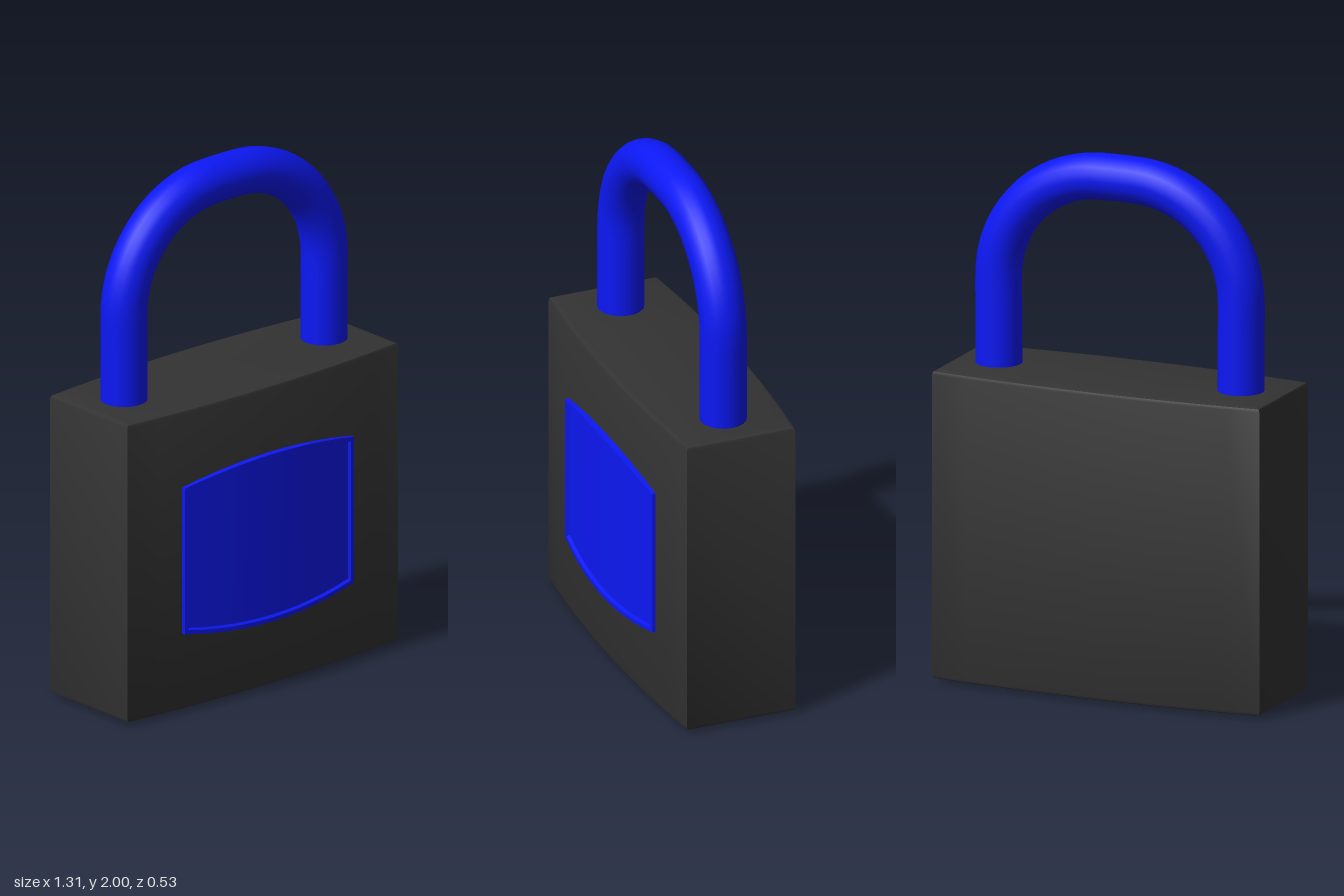
import * as THREE from 'three';
import { toCreasedNormals } from 'three/addons/utils/BufferGeometryUtils.js';

const BLUE = new THREE.MeshStandardMaterial({ color: 0x0c18f5 });
const DARK = new THREE.MeshStandardMaterial({ color: 0x333333 });
const ZC = -0.015; // depth centre of the body and shackle

function add(group, name, geometry, material) {
  const mesh = new THREE.Mesh(geometry, material);
  mesh.name = name;
  group.add(mesh);
  return mesh;
}

// Block with gently bowed front and back and a small bevel
function bodyGeometry() {
  const bevel = 0.015, w = 0.655 - bevel, n = 10;
  const half = x => 0.25 - 0.035 * (x / w) ** 2 - bevel;
  const pts = [];
  for (let i = 0; i <= n; i++) {
    const x = -w + (2 * w * i) / n;
    pts.push(new THREE.Vector2(x, -half(x)));
  }
  for (let i = n; i >= 0; i--) pts.push(new THREE.Vector2(pts[i].x, -pts[i].y));
  const g = new THREE.ExtrudeGeometry(new THREE.Shape(pts), {
    depth: 1.16 - 2 * bevel, bevelThickness: bevel, bevelSize: bevel, bevelSegments: 2,
  });
  g.rotateX(-Math.PI / 2);
  g.translate(0, 0.01 + bevel, ZC);
  return toCreasedNormals(g, 0.5);
}

// Straight legs joined by two rounded corners and a short flat top
function shackleGeometry() {
  const x = 0.485, r = 0.086, y0 = 1.1, y1 = 1.5, flat = 0.06, top = 2 - r;
  const pts = [new THREE.Vector3(x, y0, ZC), new THREE.Vector3(x, y1 - 0.1, ZC)];
  const n = 12;
  for (const side of [1, -1]) {
    for (let i = 0; i <= n; i++) {
      const a = (Math.PI / 2) * (side > 0 ? i / n : 1 - i / n);
      pts.push(new THREE.Vector3(
        side * (flat + (x - flat) * Math.cos(a)), y1 + (top - y1) * Math.sin(a), ZC));
    }
  }
  pts.push(new THREE.Vector3(-x, y1 - 0.1, ZC), new THREE.Vector3(-x, y0, ZC));
  return new THREE.TubeGeometry(new THREE.CatmullRomCurve3(pts), 72, r, 20, false);
}

// Plate outline: straight sides, arched top and bottom, bent to follow the body
const PLATE = { w: 0.41, y: 0.59, n: 12 };
const plateHalf = x => 0.325 - 0.042 * (x / PLATE.w) ** 2;
const plateZ = x => 0.26 - 0.025 * (x / PLATE.w) ** 2;

function plateRing(inset, dz) {
  const { w, y, n } = PLATE, pts = [];
  for (const side of [-1, 1]) {
    for (let i = 0; i <= n; i++) {
      const x = -side * (w - inset) * (-1 + (2 * i) / n) * 1;
      pts.push([x, y + side * (plateHalf(x) - inset), plateZ(x) + dz]);
    }
  }
  return pts;
}

// Raised border lofted through outer wall, face and inner bevel
function rimGeometry() {
  const rings = [plateRing(0, -0.06), plateRing(0, 0), plateRing(0.016, 0), plateRing(0.022, -0.012)];
  const m = rings[0].length, index = [];
  for (let k = 0; k < rings.length - 1; k++) {
    for (let i = 0; i < m; i++) {
      const a = k * m + i, b = k * m + ((i + 1) % m);
      index.push(a, b, b + m, a, b + m, a + m);
    }
  }
  const g = new THREE.BufferGeometry();
  g.setAttribute('position', new THREE.Float32BufferAttribute(rings.flat(2), 3));
  g.setIndex(index);
  return toCreasedNormals(g, 0.4);
}

// Recessed bowed panel inside the border
function panelGeometry() {
  const inset = 0.022, w = PLATE.w - inset;
  const g = new THREE.PlaneGeometry(2, 2, PLATE.n, 2);
  const p = g.attributes.position;
  for (let i = 0; i < p.count; i++) {
    const x = p.getX(i) * w;
    p.setXYZ(i, x, PLATE.y + p.getY(i) * (plateHalf(x) - inset), plateZ(x) - 0.012);
  }
  g.computeVertexNormals();
  return g;
}

// Round lock cylinder underneath with a thin key slot
function keyDiscGeometry() {
  const shape = new THREE.Shape().absarc(0, 0, 0.14, 0, Math.PI * 2);
  const s = 0.004, l = 0.06;
  shape.holes.push(new THREE.Path([[-s, -l], [-s, l], [s, l], [s, -l]].map(p => new THREE.Vector2(...p))));
  const g = new THREE.ExtrudeGeometry(shape, { depth: 0.02, bevelEnabled: false, curveSegments: 24 });
  g.rotateX(-Math.PI / 2);
  g.translate(0, 0, ZC);
  return toCreasedNormals(g, 0.5);
}

export function createModel() {
  const model = new THREE.Group();
  model.name = 'padlock';
  add(model, 'body', bodyGeometry(), DARK);
  add(model, 'shackle', shackleGeometry(), BLUE);
  const plate = new THREE.Group();
  plate.name = 'frontPlate';
  add(plate, 'plateRim', rimGeometry(), BLUE);
  add(plate, 'platePanel', panelGeometry(), BLUE);
  model.add(plate);
  add(model, 'keyDisc', keyDiscGeometry(), BLUE);
  return model;
}
